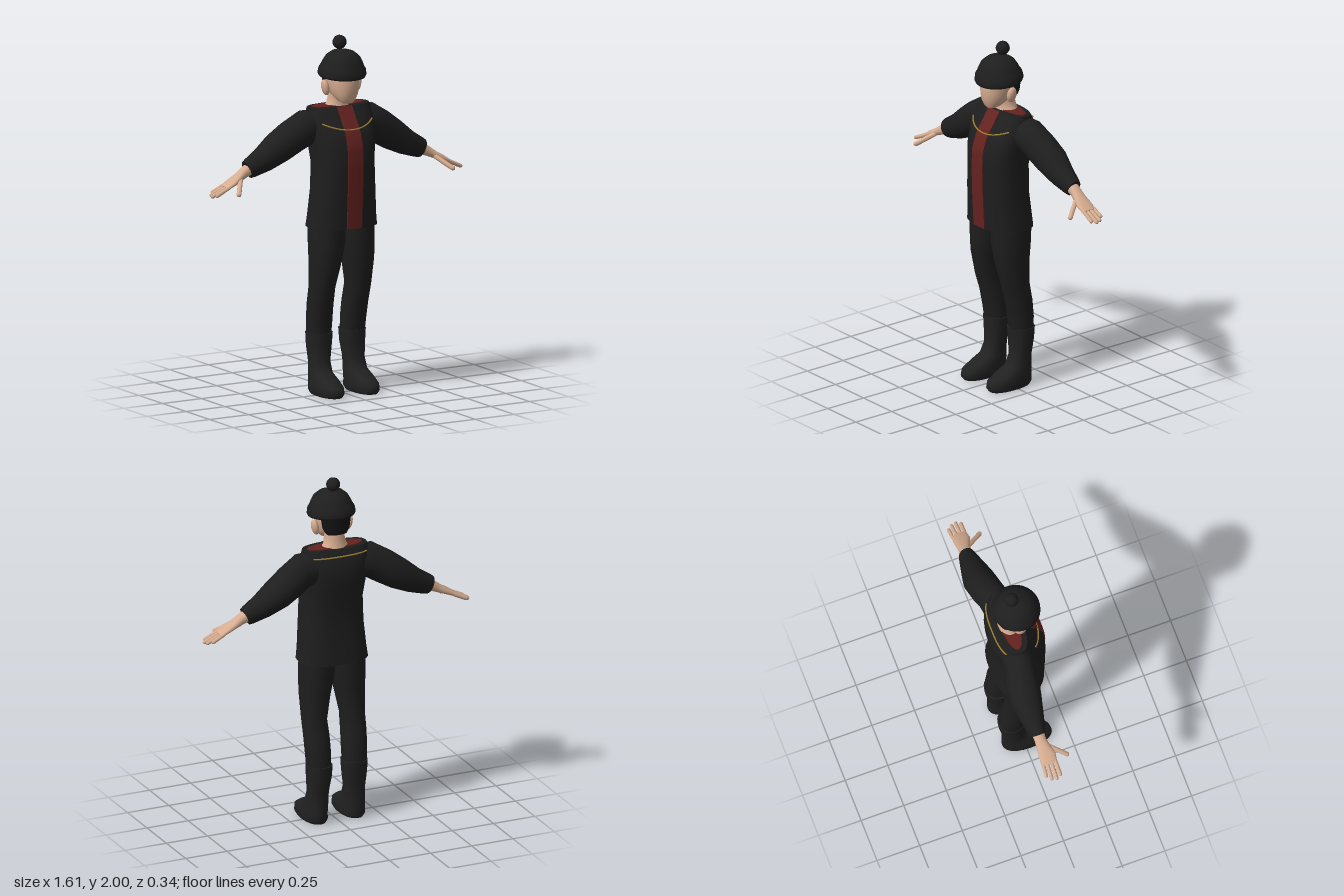
import * as THREE from 'three';

const mat = (name, color) => {
  const m = new THREE.MeshStandardMaterial({ color });
  m.name = name;
  return m;
};

// Loft through rings [x, y, z, halfWidth, halfDepth, tilt]; tilt turns the ring about z.
function loft(rings, power = 2, seg = 28) {
  const pos = [], idx = [];
  const ringAt = ([x, y, z, a, b, tilt = 0]) => {
    for (let i = 0; i < seg; i++) {
      const t = (i / seg) * Math.PI * 2, c = Math.cos(t), s = Math.sin(t);
      const u = a * Math.sign(c) * Math.abs(c) ** (2 / power);
      const v = b * Math.sign(s) * Math.abs(s) ** (2 / power);
      pos.push(x + u * Math.cos(tilt), y + u * Math.sin(tilt), z + v);
    }
  };
  rings.forEach(ringAt);
  for (let r = 0; r < rings.length - 1; r++) {
    for (let i = 0; i < seg; i++) {
      const j = (i + 1) % seg, p = r * seg, q = p + seg;
      idx.push(p + i, q + i, p + j, p + j, q + i, q + j);
    }
  }
  // End caps with their own vertices, so the rims stay crisp
  [rings[0], rings[rings.length - 1]].forEach((ring, end) => {
    const p = pos.length / 3;
    ringAt(ring);
    pos.push(ring[0], ring[1], ring[2]);
    for (let i = 0; i < seg; i++) {
      const j = (i + 1) % seg;
      if (end) idx.push(p + seg, p + j, p + i);
      else idx.push(p + seg, p + i, p + j);
    }
  });
  const g = new THREE.BufferGeometry();
  g.setAttribute('position', new THREE.Float32BufferAttribute(pos, 3));
  g.setIndex(idx);
  g.computeVertexNormals();
  return g;
}

// Mirror a geometry across x and restore its winding
function mirrored(geo) {
  const g = geo.clone().scale(-1, 1, 1);
  const ix = g.index.array;
  for (let i = 0; i < ix.length; i += 3) [ix[i], ix[i + 1]] = [ix[i + 1], ix[i]];
  g.computeVertexNormals();
  return g;
}

// Rounded finger between two points
function finger(from, to, radius) {
  const a = new THREE.Vector3(...from), b = new THREE.Vector3(...to);
  const dir = b.clone().sub(a), len = dir.length();
  const g = new THREE.CapsuleGeometry(radius, len - 2 * radius, 4, 10);
  g.applyQuaternion(new THREE.Quaternion().setFromUnitVectors(new THREE.Vector3(0, 1, 0), dir.normalize()));
  const mid = a.add(b).multiplyScalar(0.5);
  return g.translate(mid.x, mid.y, mid.z);
}

// Tunic outline: [y, front z, back z, half width]
const TUNIC_POWER = 2.7;
const TUNIC = [
  [0.94, 0.135, -0.15, 0.198], [1.0, 0.138, -0.145, 0.19], [1.15, 0.146, -0.13, 0.178],
  [1.3, 0.15, -0.135, 0.171], [1.4, 0.145, -0.158, 0.18], [1.48, 0.118, -0.16, 0.19],
  [1.55, 0.07, -0.152, 0.198], [1.61, 0.03, -0.115, 0.188],
];

// Depth of the tunic surface at x, y on the front (side 1) or back (side -1)
function tunicZ(x, y, side = 1) {
  let i = 0;
  while (i < TUNIC.length - 2 && y > TUNIC[i + 1][0]) i++;
  const t = (y - TUNIC[i][0]) / (TUNIC[i + 1][0] - TUNIC[i][0]);
  const [, f, b, w] = TUNIC[i].map((v, k) => THREE.MathUtils.lerp(v, TUNIC[i + 1][k], t));
  const k = Math.max(0, 1 - Math.abs(x / w) ** TUNIC_POWER) ** (1 / TUNIC_POWER);
  return (f + b) / 2 + side * ((f - b) / 2) * k;
}

export function createModel() {
  const model = new THREE.Group();
  const cloth = mat('black cloth', 0x1e1e1e);
  const leather = mat('boot black', 0x212121);
  const hairMat = mat('dark hair', 0x161515);
  const skin = mat('skin', 0xd6ac90);
  const red = mat('dark red', 0x64221f);
  const gold = mat('gold', 0xa08430);

  const add = (name, geo, material) => {
    const m = new THREE.Mesh(geo, material);
    m.name = name;
    model.add(m);
    return m;
  };
  const pair = (name, geo, material) => {
    add(name + 'Left', geo, material);
    add(name + 'Right', mirrored(geo), material);
  };

  // Tunic
  add('tunic', loft(TUNIC.map(([y, f, b, w]) => [0, y, (f + b) / 2, w, (f - b) / 2]), TUNIC_POWER, 40), cloth);

  // Red front stripe following the chest
  const stripe = new THREE.BoxGeometry(0.095, 0.668, 0.008, 4, 28, 1).translate(-0.002, 1.276, 0);
  const sp = stripe.attributes.position;
  for (let i = 0; i < sp.count; i++) {
    sp.setZ(i, sp.getZ(i) + 0.002 + tunicZ(sp.getX(i), sp.getY(i)));
  }
  stripe.computeVertexNormals();
  add('frontStripe', stripe, red);

  // Gold trim across chest and back
  const trim = (side, yAt) => {
    const pts = [];
    for (let i = 0; i <= 16; i++) {
      const x = -0.16 + 0.02 * i, y = yAt(x);
      pts.push(new THREE.Vector3(x, y, tunicZ(x, y, side) + side * 0.004));
    }
    return new THREE.TubeGeometry(new THREE.CatmullRomCurve3(pts), 40, 0.0045, 6);
  };
  add('chestTrim', trim(1, (x) => 1.492 + 0.038 * (x / 0.16) ** 2), gold);
  add('backTrim', trim(-1, () => 1.575), gold);

  // Undershirt at the neck opening
  add('collar', loft([[0, 1.6, -0.045, 0.17, 0.055], [0, 1.614, -0.045, 0.165, 0.05]]), red);

  // Sleeves
  pair('sleeve', loft([
    [0.1, 1.5, -0.05, 0.095, 0.08, -1.6], [0.2, 1.497, -0.055, 0.1, 0.088, -1.85],
    [0.28, 1.45, -0.07, 0.096, 0.09, -2.15], [0.365, 1.395, -0.08, 0.089, 0.09, -2.2],
    [0.46, 1.337, -0.08, 0.072, 0.069, -2.18], [0.54, 1.302, -0.08, 0.058, 0.05, -2.04],
    [0.56, 1.294, -0.08, 0.052, 0.044, -2.0],
  ]), cloth);

  // Hands: wrist and palm, four fingers, thumb
  pair('palm', loft([
    [0.53, 1.308, -0.078, 0.036, 0.036, -2.05], [0.585, 1.28, -0.076, 0.029, 0.032, -2.05],
    [0.625, 1.257, -0.072, 0.022, 0.038, -2.05], [0.67, 1.235, -0.066, 0.018, 0.048, -2.05],
    [0.715, 1.211, -0.068, 0.012, 0.044, -2.05],
  ], 2.3, 18), skin);
  [[-0.103, 0.775, -0.108], [-0.08, 0.797, -0.083], [-0.057, 0.804, -0.056], [-0.034, 0.79, -0.03]]
    .forEach(([z0, x1, z1], i) => pair('finger' + (i + 1),
      finger([0.69, 1.223, z0], [x1, 1.168 + (0.804 - x1) * 0.5, z1], 0.0105), skin));
  pair('thumb', finger([0.62, 1.252, -0.05], [0.693, 1.183, 0.052], 0.0135), skin);

  // Trouser legs
  pair('trouserLeg', loft([
    [0.107, 0.3, -0.07, 0.066, 0.066], [0.109, 0.4, -0.062, 0.07, 0.073],
    [0.112, 0.5, -0.047, 0.07, 0.077], [0.115, 0.6, -0.022, 0.067, 0.083],
    [0.104, 0.75, -0.006, 0.083, 0.103], [0.094, 0.85, -0.008, 0.094, 0.115],
    [0.092, 0.96, -0.01, 0.094, 0.12],
  ], 2.2), cloth);

  // Boots
  pair('boot', loft([
    [0.113, 0, 0.02, 0.06, 0.13], [0.113, 0.02, 0.021, 0.071, 0.144],
    [0.113, 0.055, 0.018, 0.07, 0.14], [0.112, 0.085, -0.008, 0.066, 0.115],
    [0.111, 0.12, -0.045, 0.06, 0.077], [0.11, 0.18, -0.06, 0.059, 0.061],
    [0.107, 0.27, -0.068, 0.069, 0.069], [0.106, 0.34, -0.068, 0.073, 0.074],
  ], 2.3), leather);

  // Neck, head and ears
  add('neck', loft([
    [0, 1.6, -0.045, 0.085, 0.062], [0, 1.622, -0.045, 0.066, 0.055],
    [0, 1.66, -0.04, 0.058, 0.052], [0, 1.72, -0.03, 0.058, 0.055],
  ]), skin);
  add('head', loft([
    [0, 1.635, 0.058, 0.03, 0.025], [0, 1.648, 0.046, 0.05, 0.045],
    [0, 1.68, 0.022, 0.069, 0.084], [0, 1.715, 0.009, 0.081, 0.101],
    [0, 1.77, 0.004, 0.088, 0.11], [0, 1.84, 0, 0.085, 0.1],
  ], 2.2), skin);
  const ear = new THREE.SphereGeometry(1, 14, 10).scale(0.02, 0.046, 0.03).rotateZ(-0.2).translate(0.102, 1.72, -0.008);
  pair('ear', ear, skin);

  // Hair below the hat at the back
  add('hair', loft([
    [0, 1.69, -0.068, 0.06, 0.036], [0, 1.72, -0.062, 0.078, 0.048], [0, 1.81, -0.058, 0.09, 0.06],
  ], 2.3), hairMat);

  // Knitted hat with rolled brim and bobble
  const profile = [
    [0, 0.015], [0.115, 0.002], [0.13, 0], [0.135, 0.012], [0.131, 0.04], [0.121, 0.055],
    [0.113, 0.075], [0.095, 0.108], [0.065, 0.132], [0.03, 0.142], [0, 0.145],
  ].map(([x, y]) => new THREE.Vector2(x, y));
  const hat = add('hat', new THREE.LatheGeometry(profile, 32), cloth);
  hat.position.y = 1.78;
  hat.rotation.x = 0.09;
  const bobble = add('hatBobble', new THREE.SphereGeometry(0.039, 14, 10), cloth);
  bobble.position.set(0, 1.961, -0.025);

  return model;
}
